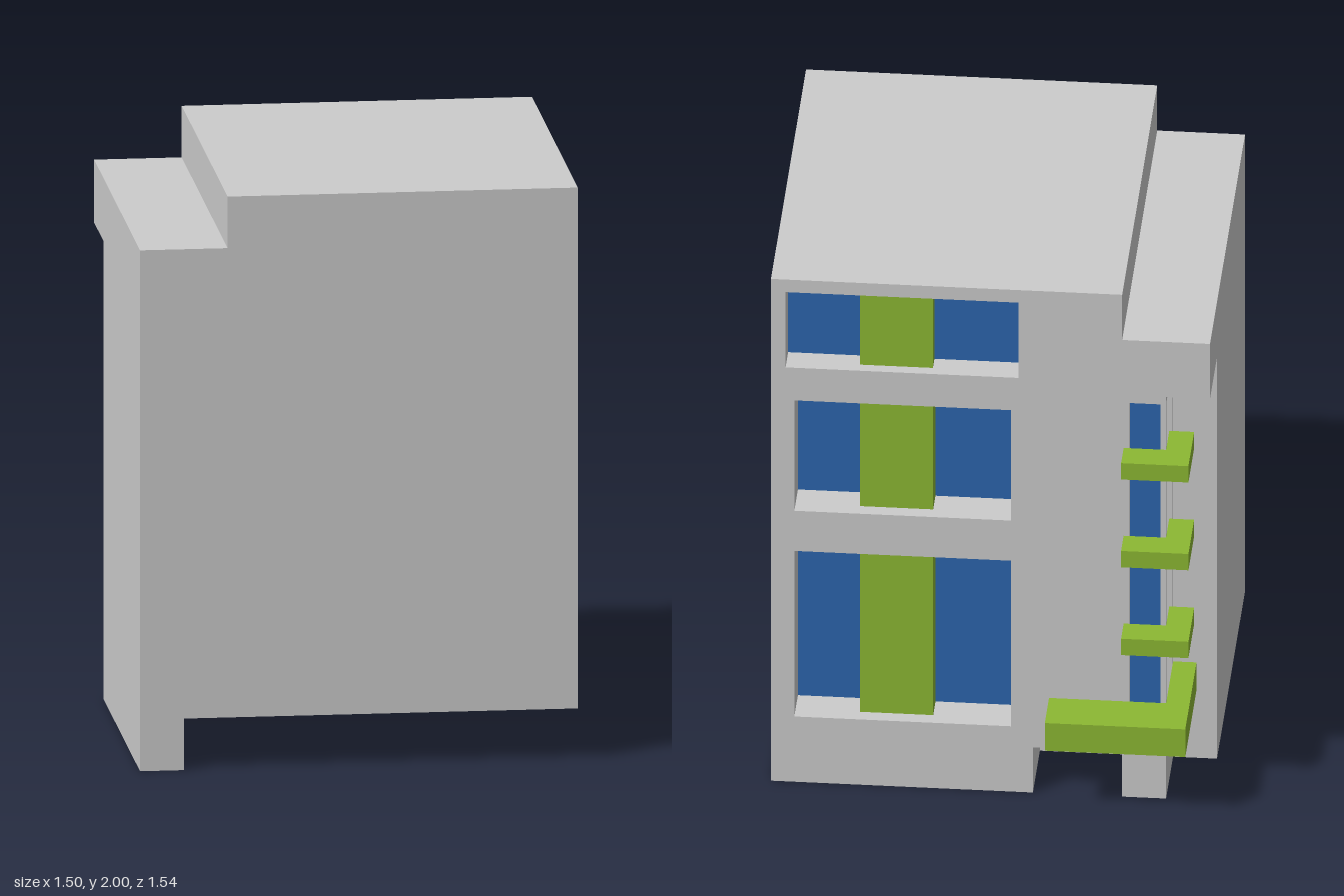
import * as THREE from 'three';

const material = (color) => new THREE.MeshStandardMaterial({ color, side: THREE.DoubleSide, flatShading: true });

// Main levels: outer walls, corner notch and open ground storey
const L = -0.75, R = 0.75, FRONT = 0.77, BACK = -0.605;
const STEP_X = -0.45, STEP_Y = 1.82, TOP = 2, OPEN_Y = 0.18;
const NOTCH_X = -0.6, NOTCH_Z = -0.33, NOTCH_Y = 1.6;
const ENTRY_L = -0.45, ENTRY_R = -0.145;

const rect = (a0, a1, b0, b1) => [[a0, b0], [a1, b0], [a1, b1], [a0, b1]];
const toPoints = (pts) => pts.map(([a, b]) => new THREE.Vector2(a, b));

export function createModel() {
  const model = new THREE.Group();
  const grey = material(0xcccccc);
  const blue = material(0x2c66ae);
  const green = material(0x8cb833);

  // Thin flat panel at a given position on an axis.
  // Outline coordinates: z -> (x, y), x -> (z, y), y -> (x, z)
  function panel(name, axis, at, outline, holes = [], mat = grey, parent = model) {
    const shape = new THREE.Shape(toPoints(outline));
    holes.forEach((h) => shape.holes.push(new THREE.Path(toPoints(h))));
    const geo = new THREE.ShapeGeometry(shape);
    if (axis === 'x') geo.rotateY(-Math.PI / 2);
    if (axis === 'y') geo.rotateX(Math.PI / 2);
    const mesh = new THREE.Mesh(geo, mat);
    mesh.position[axis] = at;
    mesh.name = name;
    parent.add(mesh);
  }

  // Sunk window: four reveals around a pane, wall at "from", glass at "to"
  function sunkWindow(name, axis, from, to, a0, a1, y0, y1) {
    const group = new THREE.Group();
    group.name = name;
    const side = axis === 'z' ? 'x' : 'z';
    for (const a of [a0, a1]) panel('jamb', side, a, rect(from, to, y0, y1), [], grey, group);
    for (const y of [y0, y1]) {
      const r = axis === 'z' ? rect(a0, a1, from, to) : rect(from, to, a0, a1);
      panel('sill', 'y', y, r, [], grey, group);
    }
    panel('glass', axis, to, rect(a0, a1, y0, y1), [], blue, group);
    model.add(group);
  }

  // Horizontal green slab extruded upwards from an (x, z) outline
  function slab(name, outline, y0, y1) {
    const geo = new THREE.ExtrudeGeometry(new THREE.Shape(toPoints(outline)), { depth: y1 - y0, bevelEnabled: false });
    geo.rotateX(Math.PI / 2);
    const mesh = new THREE.Mesh(geo, green);
    mesh.position.y = y1;
    mesh.name = name;
    model.add(mesh);
  }

  // Rear windows: x0, x1, y0, y1, recess depth, fin projection
  const windows = [
    [-0.095, 0.7, 1.65, 1.95, 0.1, 0.06],
    [-0.07, 0.67, 1.08, 1.52, 0.14, 0.09],
    [-0.07, 0.67, 0.26, 0.92, 0.14, 0.09],
  ];
  const corner = { x0: -0.59, x1: -0.475, z0: -0.59, z1: -0.36, y0: 0.2, y1: 1.57, depth: 0.02 };

  // Outer walls
  panel('frontWall', 'z', FRONT, [[L, 0], [NOTCH_X, 0], [NOTCH_X, OPEN_Y], [R, OPEN_Y],
    [R, TOP], [STEP_X, TOP], [STEP_X, STEP_Y], [L, STEP_Y]]);
  panel('backWall', 'z', BACK, [[R, 0], [R, TOP], [STEP_X, TOP], [STEP_X, STEP_Y], [L, STEP_Y],
    [L, NOTCH_Y], [NOTCH_X, NOTCH_Y], [NOTCH_X, 0], [ENTRY_L, 0], [ENTRY_L, OPEN_Y],
    [ENTRY_R, OPEN_Y], [ENTRY_R, 0]],
  [...windows.map((w) => rect(...w.slice(0, 4))), rect(corner.x0, corner.x1, corner.y0, corner.y1)]);
  panel('leftSideWall', 'x', R, [[BACK, 0], [NOTCH_Z, 0], [NOTCH_Z, OPEN_Y], [FRONT, OPEN_Y],
    [FRONT, TOP], [BACK, TOP]]);
  panel('rightSideWall', 'x', L, [[NOTCH_Z, 0], [FRONT, 0], [FRONT, STEP_Y], [BACK, STEP_Y],
    [BACK, NOTCH_Y], [NOTCH_Z, NOTCH_Y]]);

  // Stepped roof
  panel('upperRoof', 'y', TOP, rect(STEP_X, R, BACK, FRONT));
  panel('lowerRoof', 'y', STEP_Y, rect(L, STEP_X, BACK, FRONT));
  panel('roofStep', 'x', STEP_X, rect(BACK, FRONT, STEP_Y, TOP));

  // Corner notch under the overhang
  panel('notchSideWall', 'x', NOTCH_X, rect(BACK, NOTCH_Z, 0, NOTCH_Y),
    [rect(corner.z0, corner.z1, corner.y0, corner.y1)]);
  panel('notchEndWall', 'z', NOTCH_Z, rect(L, NOTCH_X, 0, NOTCH_Y));
  panel('overhangSoffit', 'y', NOTCH_Y, rect(L, NOTCH_X, BACK, NOTCH_Z));
  sunkWindow('cornerBackWindow', 'z', BACK, BACK + corner.depth, corner.x0, corner.x1, corner.y0, corner.y1);
  sunkWindow('cornerSideWindow', 'x', NOTCH_X, NOTCH_X + corner.depth, corner.z0, corner.z1, corner.y0, corner.y1);

  // Entrance recess
  for (const x of [ENTRY_L, ENTRY_R]) panel('entranceSide', 'x', x, rect(BACK, NOTCH_Z, 0, OPEN_Y));
  panel('entranceEnd', 'z', NOTCH_Z, rect(ENTRY_L, ENTRY_R, 0, OPEN_Y));
  panel('entranceCeiling', 'y', OPEN_Y, rect(ENTRY_L, ENTRY_R, BACK, NOTCH_Z));

  // Rear windows with a green fin in front of each pane
  for (const [x0, x1, y0, y1, depth, out] of windows) {
    sunkWindow('rearWindow', 'z', BACK, BACK + depth, x0, x1, y0, y1);
    const fin = new THREE.Mesh(new THREE.BoxGeometry(0.25, y1 - y0, out), green);
    fin.position.set(0.325, (y0 + y1) / 2, BACK + depth - out / 2);
    fin.name = 'windowFin';
    model.add(fin);
  }

  // L-shaped slabs wrapping the corner
  const wrap = (xOut, xEnd, zOut, zEnd) => [[xOut, zOut], [xEnd, zOut], [xEnd, BACK],
    [NOTCH_X, BACK], [NOTCH_X, zEnd], [xOut, zEnd]];
  for (const y of [0.625, 0.975, 1.325]) slab('cornerLedge', wrap(-0.685, -0.455, -0.705, -0.48), y, y + 0.065);
  slab('entranceCanopy', wrap(-0.68, -0.2, -0.77, NOTCH_Z), 0.27, 0.38);

  return model;
}
